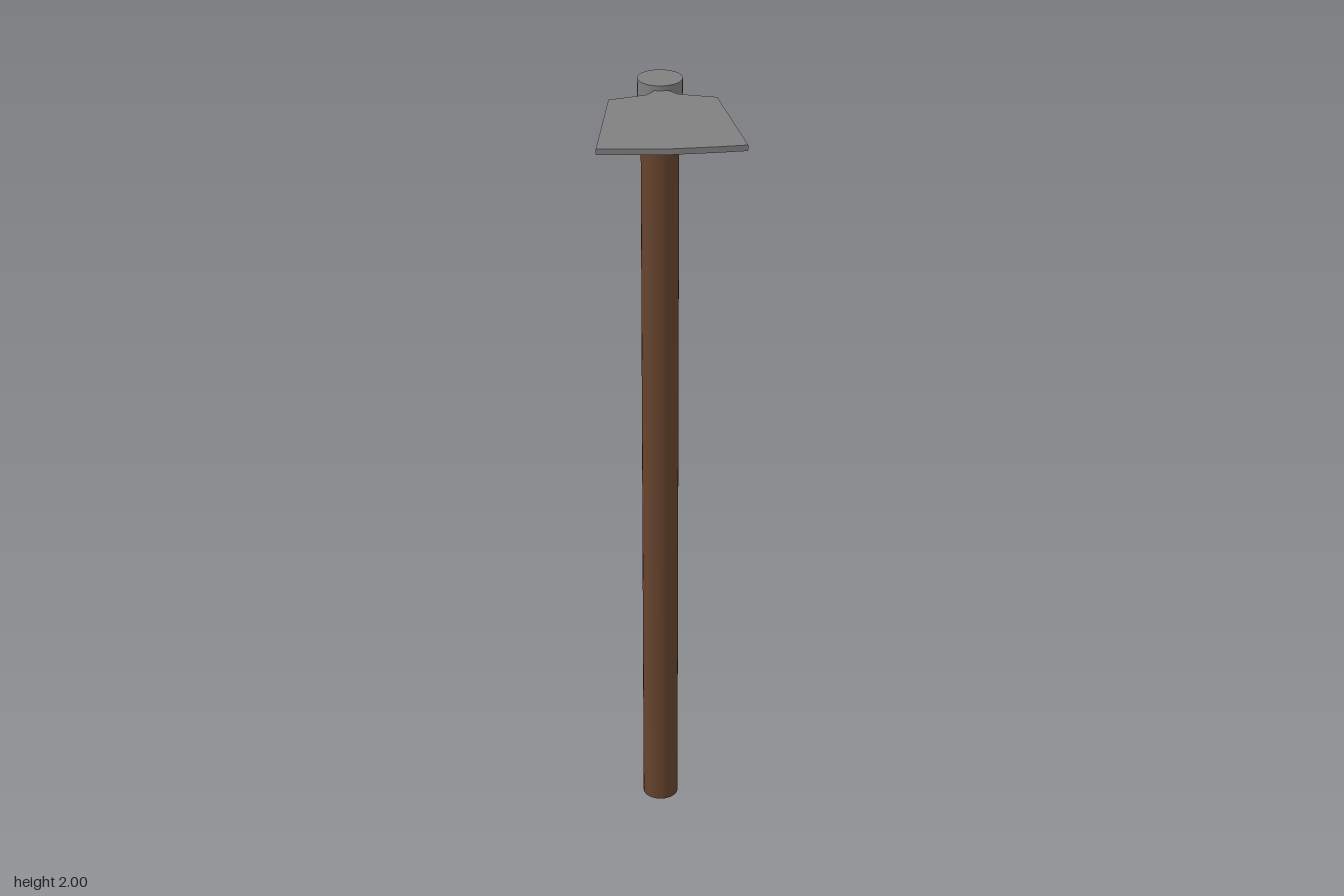
import * as THREE from 'three';

const AXIS_Z = -0.175; // handle axis

export function createModel() {
  const wood = new THREE.MeshStandardMaterial({ color: 0x66432d });
  wood.name = 'brown wood';
  const steel = new THREE.MeshStandardMaterial({ color: 0x808080 });
  steel.name = 'grey steel';

  const hoe = new THREE.Group();
  hoe.name = 'hoe';

  const addRod = (name, radius, bottom, top, material) => {
    const mesh = new THREE.Mesh(new THREE.CylinderGeometry(radius, radius, top - bottom, 32), material);
    mesh.name = name;
    mesh.position.set(0, (bottom + top) / 2, AXIS_Z);
    hoe.add(mesh);
  };

  // Long handle and the socket that caps it
  addRod('handle', 0.045, 0, 1.95, wood);
  addRod('socket', 0.053, 1.873, 2, steel);

  // Half outline of the blade as (x, z), from the neck inside the socket to the cutting edge
  const half = [[0.01, -0.132], [0.036, -0.1], [0.124, -0.075], [0.167, 0.216], [0.1, 0.2215]];
  const mirrored = half.map(([x, z]) => [-x, z]).reverse();
  const outline = [...half, [0, 0.226], ...mirrored].map(([x, z]) => new THREE.Vector2(x, z));

  // Flat blade, laid horizontal
  const bladeGeometry = new THREE.ExtrudeGeometry(new THREE.Shape(outline), { depth: 0.014, bevelEnabled: false });
  bladeGeometry.rotateX(Math.PI / 2);
  const blade = new THREE.Mesh(bladeGeometry, steel);
  blade.name = 'blade';
  blade.position.y = 1.988;
  hoe.add(blade);

  return hoe;
}
